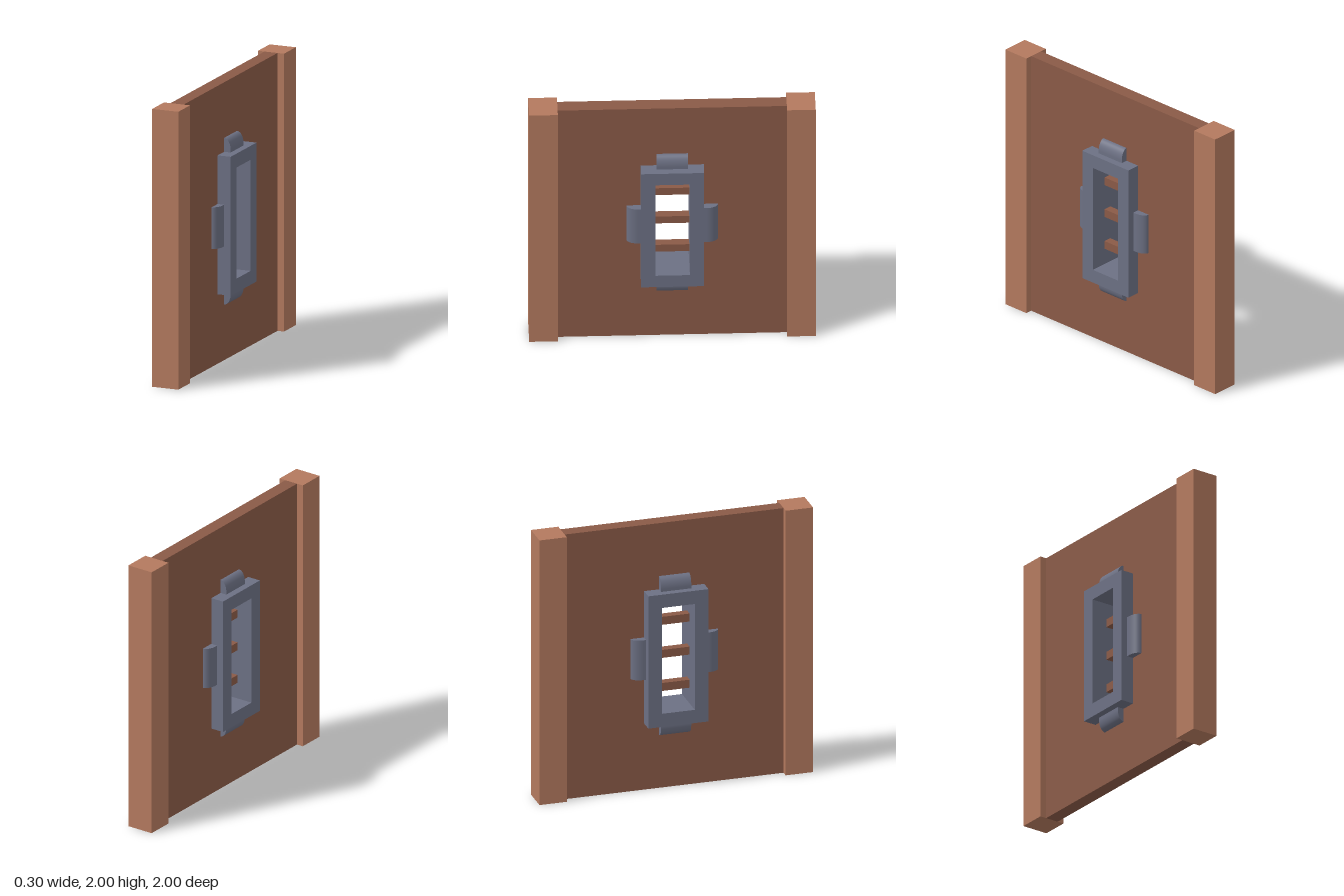
import * as THREE from 'three';

const mat = (name, color) => {
  const m = new THREE.MeshStandardMaterial({ color });
  m.name = name;
  return m;
};

// Rectangle traced on a Shape or Path, centred at (cx, cy)
function rect(path, cx, cy, w, h) {
  path.moveTo(cx - w / 2, cy - h / 2);
  path.lineTo(cx + w / 2, cy - h / 2);
  path.lineTo(cx + w / 2, cy + h / 2);
  path.lineTo(cx - w / 2, cy + h / 2);
  path.closePath();
  return path;
}

// Upright plate in the z-y plane with a rectangular opening, centred on x = 0
function piercedPlate(w, h, holeW, holeH, thickness) {
  const shape = rect(new THREE.Shape(), 0, 1, w, h);
  shape.holes.push(rect(new THREE.Path(), 0, 1, holeW, holeH));
  const geo = new THREE.ExtrudeGeometry(shape, { depth: thickness, bevelEnabled: false });
  geo.translate(0, 0, -thickness / 2);
  return geo.rotateY(Math.PI / 2);
}

// Clip with a rounded outer edge: x is thickness, y points outward, z is length
function clipGeometry(length) {
  const s = new THREE.Shape();
  s.moveTo(0.04, -0.01);
  s.lineTo(0.1, -0.01);
  s.lineTo(0.1, 0.02);
  s.absellipse(0.05, 0.02, 0.05, 0.08, 0, Math.PI / 2, false);
  s.lineTo(0.04, 0.1);
  s.closePath();
  const geo = new THREE.ExtrudeGeometry(s, { depth: length, bevelEnabled: false, curveSegments: 12 });
  geo.translate(0, 0, -length / 2);
  // Smooth normals along the rounded edge
  const p = geo.attributes.position, n = geo.attributes.normal;
  for (let i = 0; i < p.count; i++) {
    const x = p.getX(i), y = p.getY(i);
    if (Math.abs(n.getZ(i)) > 0.5 || y < 0.019 || x < 0.0499 || n.getX(i) < -0.5) continue;
    const v = new THREE.Vector3((x - 0.05) / 0.0025, (y - 0.02) / 0.0064, 0).normalize();
    n.setXYZ(i, v.x, v.y, 0);
  }
  return geo;
}

export function createModel() {
  const model = new THREE.Group();
  model.name = 'barredWindowWall';
  const postWood = mat('lightWood', 0xb3795e);
  const panelWood = mat('darkWood', 0x8a5a47);
  const metal = mat('greyMetal', 0x6c7083);

  const add = (name, geo, material, x = 0, y = 0, z = 0, parent = model) => {
    const mesh = new THREE.Mesh(geo, material);
    mesh.name = name;
    mesh.position.set(x, y, z);
    parent.add(mesh);
    return mesh;
  };

  // Wall panel between two posts
  add('wallPanel', piercedPlate(1.6, 2, 0.3, 0.9, 0.1), panelWood);
  add('frontPost', new THREE.BoxGeometry(0.2, 2, 0.2), postWood, 0, 1, 0.9);
  add('backPost', new THREE.BoxGeometry(0.2, 2, 0.2), postWood, 0, 1, -0.9);

  // Window frame and its crossbars
  add('windowFrame', piercedPlate(0.44, 1, 0.24, 0.8, 0.3), metal);
  for (const y of [0.75, 1, 1.25]) {
    add('windowBar', new THREE.BoxGeometry(0.06, 0.06, 0.26), panelWood, 0, y, 0);
  }

  // Clips around the frame on both faces of the wall
  const shortClip = clipGeometry(0.22), longClip = clipGeometry(0.3);
  for (const turn of [0, Math.PI]) {
    const clips = new THREE.Group();
    clips.name = turn ? 'rightClips' : 'leftClips';
    clips.rotation.y = turn;
    model.add(clips);
    const sides = [
      ['topClip', shortClip, 1.5, 0, 0],
      ['bottomClip', shortClip, 0.5, 0, Math.PI],
      ['frontClip', longClip, 1, 0.22, Math.PI / 2],
      ['backClip', longClip, 1, -0.22, -Math.PI / 2],
    ];
    for (const [name, geo, y, z, angle] of sides) {
      add(name, geo, metal, 0, y, z, clips).rotation.x = angle;
    }
  }
  return model;
}
